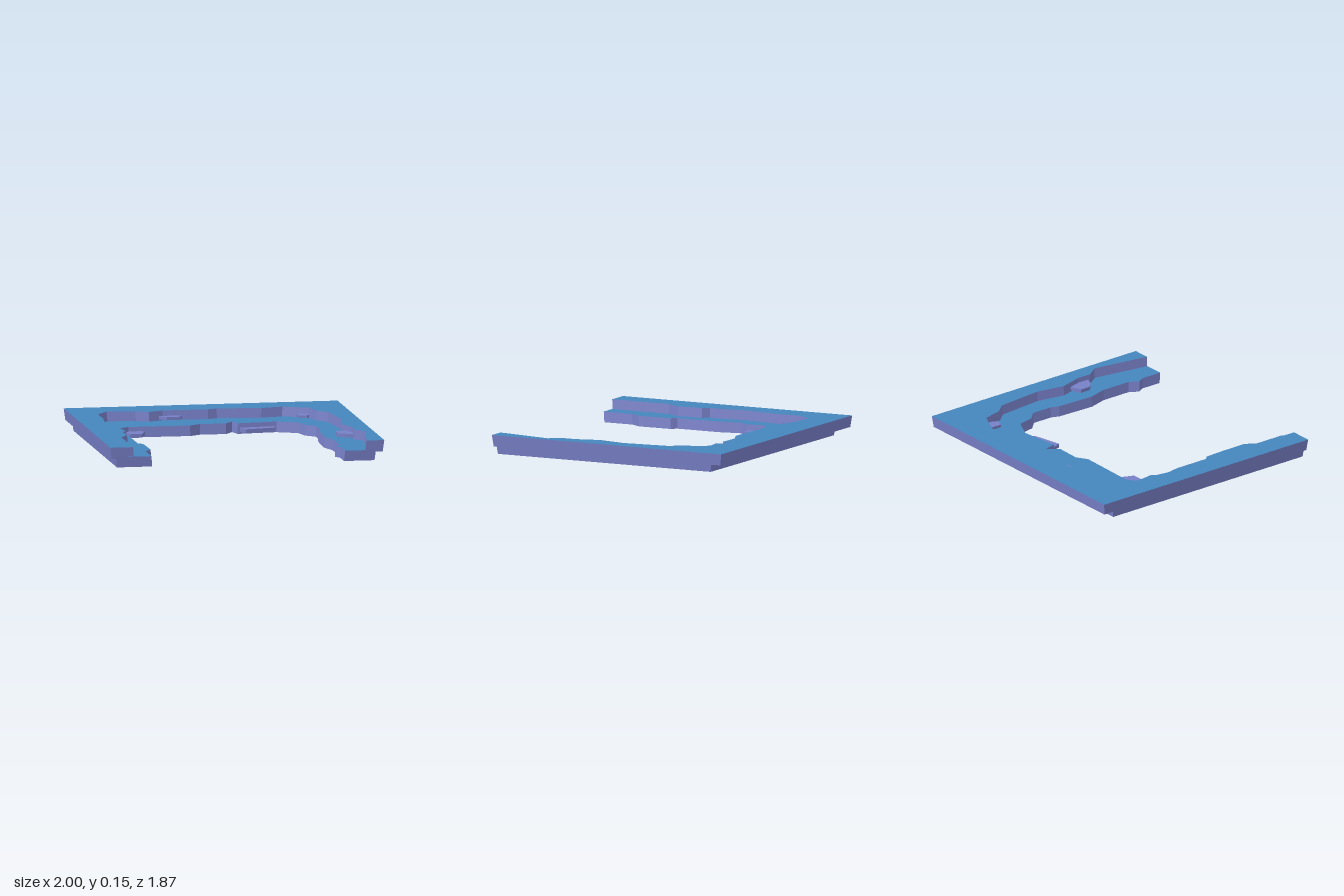
import * as THREE from 'three';

const stone = new THREE.MeshStandardMaterial({ color: 0x7880c8, flatShading: true });
const turf = new THREE.MeshStandardMaterial({ color: 0x4585bd, flatShading: true });
const base = new THREE.MeshStandardMaterial({ color: 0xcccccc, flatShading: true });

// Flat slab from [x, z] points; the bottom outline is scaled by taper.
function slab(name, points, y0, y1, taper, [bottom, top, side]) {
  const shape = new THREE.Shape(points.map(([x, z]) => new THREE.Vector2(x, -z)));
  const geo = new THREE.ExtrudeGeometry(shape, { depth: y1 - y0, bevelEnabled: false });
  geo.rotateX(-Math.PI / 2);
  const p = geo.attributes.position;
  for (let i = 0; i < p.count; i++) {
    const k = p.getY(i) < (y1 - y0) / 2 ? taper : 1;
    p.setXYZ(i, p.getX(i) * k, p.getY(i) + y0, p.getZ(i) * k);
  }
  geo.computeVertexNormals();

  // The first half of the cap triangles is the underside, the second the top.
  const caps = geo.groups[0].count;
  geo.clearGroups();
  geo.addGroup(0, caps / 2, 0);
  geo.addGroup(caps / 2, caps / 2, 1);
  geo.addGroup(caps, p.count - caps, 2);
  const mesh = new THREE.Mesh(geo, [bottom, top, side]);
  mesh.name = name;
  return mesh;
}

// Ragged inner edges, from the front of the -x arm round to the +x arm.
const lowerEdge = [
  [-0.70, 0.93], [-0.70, 0.70], [-0.65, 0.62], [-0.655, 0.36], [-0.69, 0.325], [-0.69, -0.02],
  [-0.72, -0.175], [-0.67, -0.25], [-0.69, -0.385], [-0.62, -0.435], [-0.17, -0.425],
  [-0.09, -0.475], [0.10, -0.47], [0.16, -0.55], [0.185, -0.46], [0.475, -0.492],
  [0.625, -0.42], [0.65, -0.30], [0.718, -0.23], [0.718, -0.07], [0.695, -0.01],
  [0.685, 0.28], [0.725, 0.42], [0.725, 0.65], [0.685, 0.72], [0.715, 0.77], [0.715, 0.93],
];
const upperEdge = [
  [-0.835, 0.933], [-0.835, 0.47], [-0.775, 0.365], [-0.785, 0.175], [-0.825, 0.13],
  [-0.815, 0.04], [-0.84, -0.14], [-0.805, -0.42], [-0.81, -0.61], [-0.725, -0.727],
  [-0.52, -0.70], [-0.43, -0.657], [-0.32, -0.707], [0.01, -0.70], [0.08, -0.727],
  [0.40, -0.692], [0.56, -0.727], [0.735, -0.645], [0.77, -0.50], [0.838, -0.42],
  [0.873, -0.07], [0.832, 0.14], [0.88, 0.31], [0.88, 0.42], [0.942, 0.51], [0.87, 0.933],
];

// Loose stones: outline and height range.
const rubble = [
  [[[-0.645, -0.38], [-0.625, -0.42], [-0.53, -0.435], [-0.505, -0.40], [-0.545, -0.30], [-0.63, -0.30]], 0.018, 0.045],
  [[[0.20, -0.465], [0.21, -0.49], [0.46, -0.50], [0.45, -0.425], [0.23, -0.375]], 0.018, 0.045],
  [[[-0.35, -0.69], [-0.32, -0.71], [-0.18, -0.70], [-0.20, -0.645], [-0.30, -0.64]], 0.085, 0.108],
  [[[0.65, -0.66], [0.69, -0.67], [0.735, -0.63], [0.73, -0.59], [0.71, -0.555], [0.65, -0.575]], 0.085, 0.105],
  [[[0.77, 0.25], [0.86, 0.215], [0.885, 0.31], [0.88, 0.40], [0.81, 0.37], [0.77, 0.33]], 0.085, 0.112],
];

export function createModel() {
  const model = new THREE.Group();
  model.name = 'steppedLedge';

  // Lower and upper steps, open to the front
  const lower = [...lowerEdge, [0.94, 0.93], [0.94, -0.82], [-0.96, -0.82], [-0.96, 0.93]];
  const upper = [...upperEdge, [1, 0.933], [1, -0.933], [-1, -0.933], [-1, 0.933]];
  model.add(slab('lowerStep', lower, 0.0008, 0.077, 0.99, [base, turf, stone]));
  model.add(slab('upperStep', upper, 0.064, 0.147, 0.99, [base, turf, stone]));

  // Stone-coloured facet under the back of the lower step
  const facet = new THREE.BufferGeometry();
  facet.setAttribute('position', new THREE.Float32BufferAttribute(
    [-0.95, 0, -0.811, 0.93, 0, -0.811, 0.158, 0, -0.545], 3));
  facet.computeVertexNormals();
  const under = new THREE.Mesh(facet, stone);
  under.name = 'undersideFacet';
  model.add(under);

  // Stones along the steps
  rubble.forEach(([outline, y0, y1], i) =>
    model.add(slab(`looseStone${i + 1}`, outline, y0, y1, 1, [stone, stone, stone])));

  return model;
}
